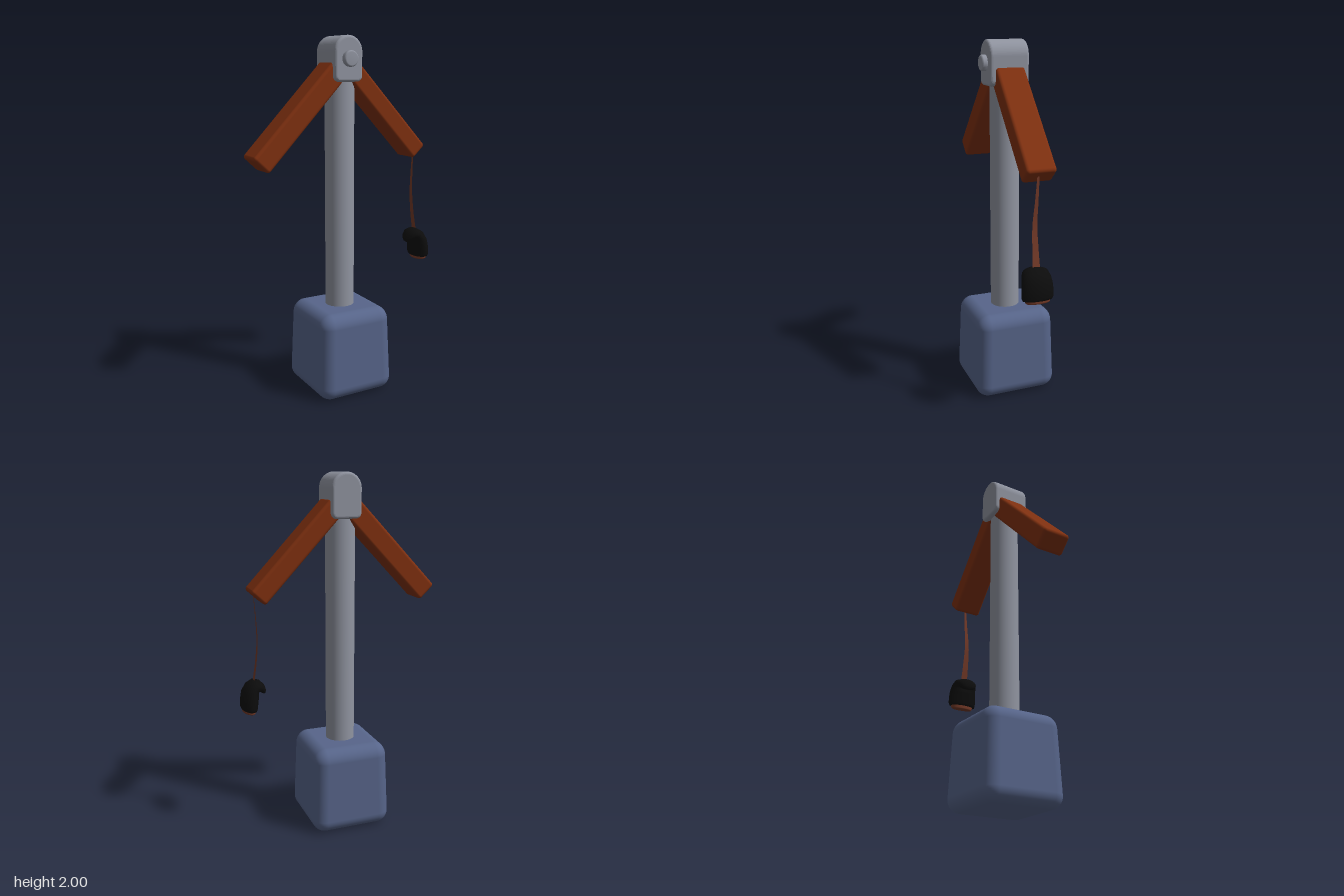
import * as THREE from 'three';
import { RoundedBoxGeometry } from 'three/addons/geometries/RoundedBoxGeometry.js';

const material = (name, color, side = THREE.FrontSide) => {
  const m = new THREE.MeshStandardMaterial({ color, side });
  m.name = name;
  return m;
};

const add = (group, name, geometry, mat, x = 0, y = 0, z = 0) => {
  const mesh = new THREE.Mesh(geometry, mat);
  mesh.name = name;
  mesh.position.set(x, y, z);
  group.add(mesh);
  return mesh;
};

// Skin elliptical rings [x, y, angle, in-plane radius, z radius] into a capped solid
function loft(rings, zc, sides = 28) {
  const pos = [], index = [];
  for (const [x, y, a, r, w] of rings) {
    for (let j = 0; j < sides; j++) {
      const t = (j / sides) * Math.PI * 2;
      const u = Math.cos(t) * r;
      pos.push(x + Math.cos(a) * u, y + Math.sin(a) * u, zc + Math.sin(t) * w);
    }
  }
  for (let i = 0; i < rings.length - 1; i++) {
    for (let j = 0; j < sides; j++) {
      const a = i * sides + j, b = i * sides + ((j + 1) % sides);
      index.push(a, a + sides, b, b, a + sides, b + sides);
    }
  }
  const g = new THREE.BufferGeometry();
  g.setAttribute('position', new THREE.Float32BufferAttribute(pos, 3));
  g.setIndex(index);
  g.computeVertexNormals();
  return g;
}

export function createModel() {
  const model = new THREE.Group();
  model.name = 'trainingPost';
  const blue = material('slateBlue', 0x57658a);
  const grey = material('steelGrey', 0x9094a0);
  const wood = material('rustBrown', 0x7f3010);
  const black = material('black', 0x0c0c0c, THREE.DoubleSide);
  const strap = material('strapBrown', 0x743a28, THREE.DoubleSide);
  const cx = -0.02;

  // Rounded base, slightly narrower at the top
  const base = new RoundedBoxGeometry(0.465, 0.495, 0.48, 6, 0.075);
  const p = base.attributes.position;
  for (let i = 0; i < p.count; i++) {
    const s = 1 - 0.08 * (p.getY(i) / 0.495 + 0.5);
    p.setX(i, p.getX(i) * s);
    p.setZ(i, p.getZ(i) * s);
  }
  add(model, 'base', base, blue, cx, 0.2475, 0);

  // Upright pole
  add(model, 'pole', new THREE.CylinderGeometry(0.082, 0.082, 1.34, 32), grey, cx, 1.14, 0);

  // Arched head, bevelled front and back
  const b = 0.015, w = 0.085 - b, arc = 1.915, low = 1.757 + b, r = 0.02;
  const arch = new THREE.Shape();
  arch.moveTo(-w + r, low);
  arch.lineTo(w - r, low);
  arch.quadraticCurveTo(w, low, w, low + r);
  arch.lineTo(w, arc);
  arch.absarc(0, arc, w, 0, Math.PI, false);
  arch.lineTo(-w, low + r);
  arch.quadraticCurveTo(-w, low, -w + r, low);
  const head = new THREE.ExtrudeGeometry(arch, {
    depth: 0.22 - 2 * b, bevelThickness: b, bevelSize: b, bevelSegments: 4, curveSegments: 20,
  });
  add(model, 'head', head, grey, cx, 0, -0.11 + b);

  // Pivot knob on the front
  const knob = new THREE.LatheGeometry(
    [[0, -0.02], [0.043, -0.02], [0.043, 0.022], [0.04, 0.028], [0.034, 0.031], [0, 0.031]]
      .map(([x, y]) => new THREE.Vector2(x, y)), 24);
  add(model, 'knob', knob, grey, cx, 1.878, 0.108).rotation.x = Math.PI / 2;

  // Two drooping arms, from the head to their outer ends
  const arms = [
    ['leftArm', 0.02, 1.828, 0.467, 1.352, 0.107],
    ['rightArm', -0.05, 1.829, -0.523, 1.33, 0.119],
  ];
  for (const [name, x0, y0, x1, y1, thick] of arms) {
    const length = Math.hypot(x1 - x0, y1 - y0);
    const arm = add(model, name, new RoundedBoxGeometry(length, thick, 0.165, 4, 0.018),
      wood, (x0 + x1) / 2, (y0 + y1) / 2, -0.001);
    arm.rotation.z = Math.atan2(y1 - y0, x1 - x0);
  }

  // Flat strap, widening towards the glove
  const path = new THREE.CatmullRomCurve3([
    [0.472, 1.36, 0.008], [0.462, 1.22, 0.012], [0.457, 1.1, 0.018], [0.468, 0.98, 0.018], [0.487, 0.86, 0.018],
  ].map((v) => new THREE.Vector3(...v)));
  const ribbon = new THREE.PlaneGeometry(1, 1, 1, 24);
  const rp = ribbon.attributes.position;
  for (let i = 0; i < rp.count; i++) {
    const t = 0.5 - rp.getY(i);
    const c = path.getPoint(t);
    rp.setXYZ(i, c.x, c.y, c.z - rp.getX(i) * (0.012 + 0.03 * t));
  }
  ribbon.computeVertexNormals();
  add(model, 'strap', ribbon, strap);

  // Hooked glove hanging from the strap
  const glove = loft([
    [0.513, 0.725, 0.1, 0.001, 0.001], [0.513, 0.722, 0.1, 0.042, 0.082], [0.513, 0.735, 0.1, 0.047, 0.087],
    [0.511, 0.77, 0.15, 0.048, 0.087], [0.504, 0.808, 0.35, 0.049, 0.084], [0.492, 0.835, 0.75, 0.046, 0.079],
    [0.474, 0.852, 1.25, 0.039, 0.073], [0.455, 0.85, 1.8, 0.031, 0.064], [0.441, 0.838, 2.3, 0.024, 0.053],
    [0.433, 0.822, 2.8, 0.018, 0.042], [0.43, 0.811, 3.1, 0.012, 0.028], [0.429, 0.805, 3.14, 0.001, 0.001],
  ], 0.022);
  add(model, 'glove', glove, black);

  // Cuff at the open end of the glove
  const cuff = loft([
    [0.515, 0.705, 0.15, 0.001, 0.001], [0.515, 0.704, 0.15, 0.034, 0.062],
    [0.515, 0.71, 0.15, 0.037, 0.068], [0.514, 0.74, 0.12, 0.037, 0.07],
  ], 0.022);
  add(model, 'cuff', cuff, strap);

  return model;
}
